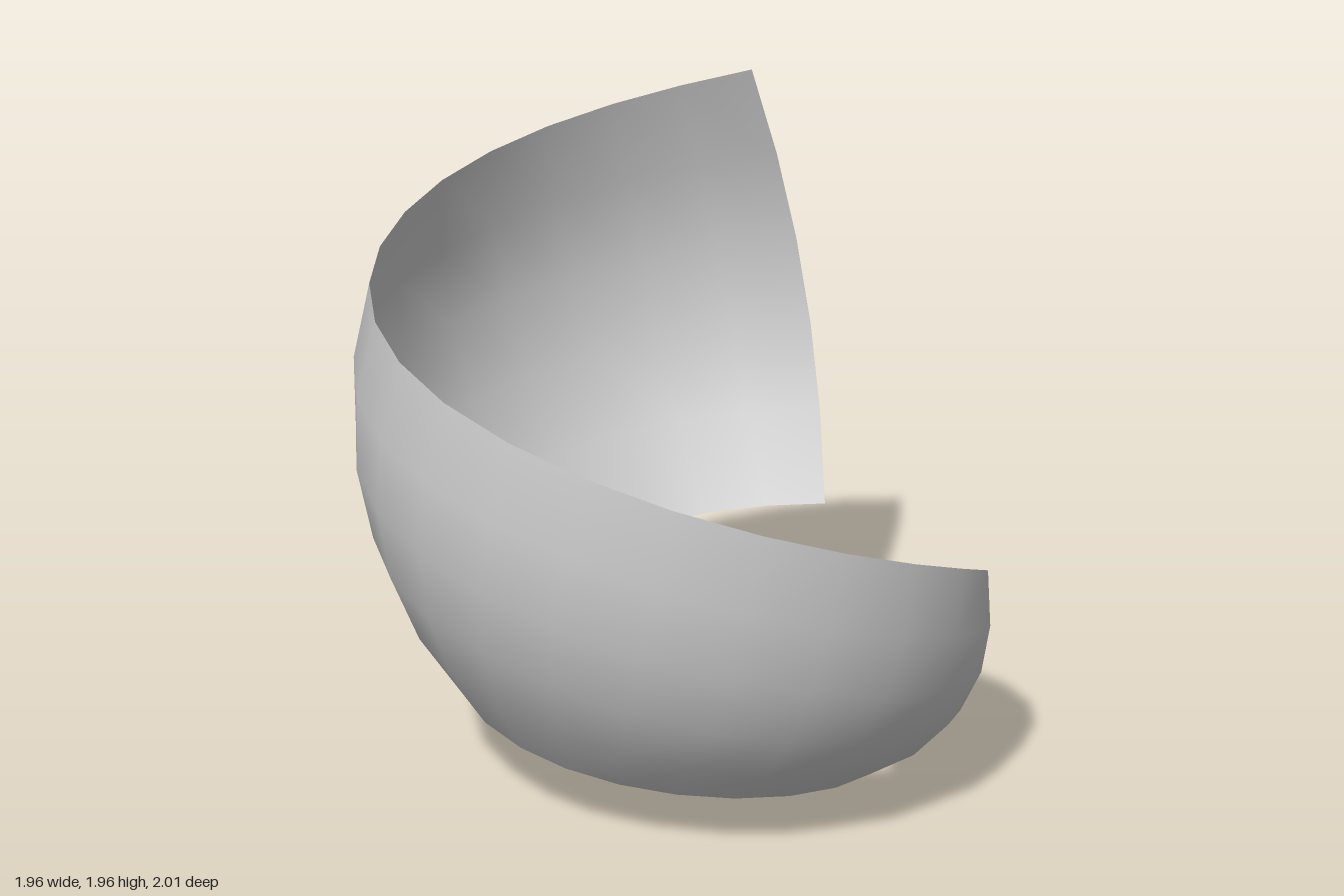
import * as THREE from 'three';

const STEPS = 23; // facets along the ribbon
const ACROSS = 5; // facets from lower to upper edge

// Rail winding round the y axis: keys are [angle in degrees, radius, height]
function rail(keys) {
  const curve = new THREE.CatmullRomCurve3(
    keys.map(([a, r, y]) => new THREE.Vector3(THREE.MathUtils.degToRad(a), r, y)), false, 'catmullrom', 0.5);
  return (t) => {
    const k = curve.getPoint(t);
    return new THREE.Vector3(k.y * Math.cos(k.x), k.z, k.y * Math.sin(k.x));
  };
}

const lowerEdge = rail([[15, 0.6, 0], [100, 0.686, 0.118], [181, 0.686, 0.235], [265.5, 0.725, 0.39], [343.2, 0.867, 0.56]]);
const middle = rail([[8.8, 0.82, 0.125], [92.5, 0.945, 0.41], [173.5, 0.957, 0.74], [254.5, 0.98, 1.02], [331.9, 1.105, 1.24]]);
const upperEdge = rail([[4.8, 0.833, 0.37], [86, 0.983, 0.86], [167, 0.953, 1.295], [245, 0.903, 1.645], [324, 0.952, 1.96]]);

// Bowed strip: each cross-section is an arc through the three rails
function ribbonGeometry() {
  const positions = [];
  const index = [];
  const row = ACROSS + 1;
  for (let i = 0; i <= STEPS; i++) {
    const t = i / STEPS;
    const a = lowerEdge(t), m = middle(t), b = upperEdge(t);
    const control = m.multiplyScalar(2).addScaledVector(a, -0.5).addScaledVector(b, -0.5);
    const arc = new THREE.QuadraticBezierCurve3(a, control, b);
    for (let j = 0; j <= ACROSS; j++) {
      positions.push(...arc.getPoint(j / ACROSS).toArray());
      if (i < STEPS && j < ACROSS) {
        const p = i * row + j;
        index.push(p, p + 1, p + row, p + 1, p + row + 1, p + row);
      }
    }
  }
  const geometry = new THREE.BufferGeometry();
  geometry.setAttribute('position', new THREE.Float32BufferAttribute(positions, 3));
  geometry.setIndex(index);
  geometry.computeVertexNormals();
  return geometry;
}

export function createModel() {
  const group = new THREE.Group();
  group.name = 'spiralBand';
  const material = new THREE.MeshStandardMaterial({ color: 0xcccccc, side: THREE.DoubleSide });
  const ribbon = new THREE.Mesh(ribbonGeometry(), material);
  ribbon.name = 'curvedRibbon';
  group.add(ribbon);
  return group;
}
